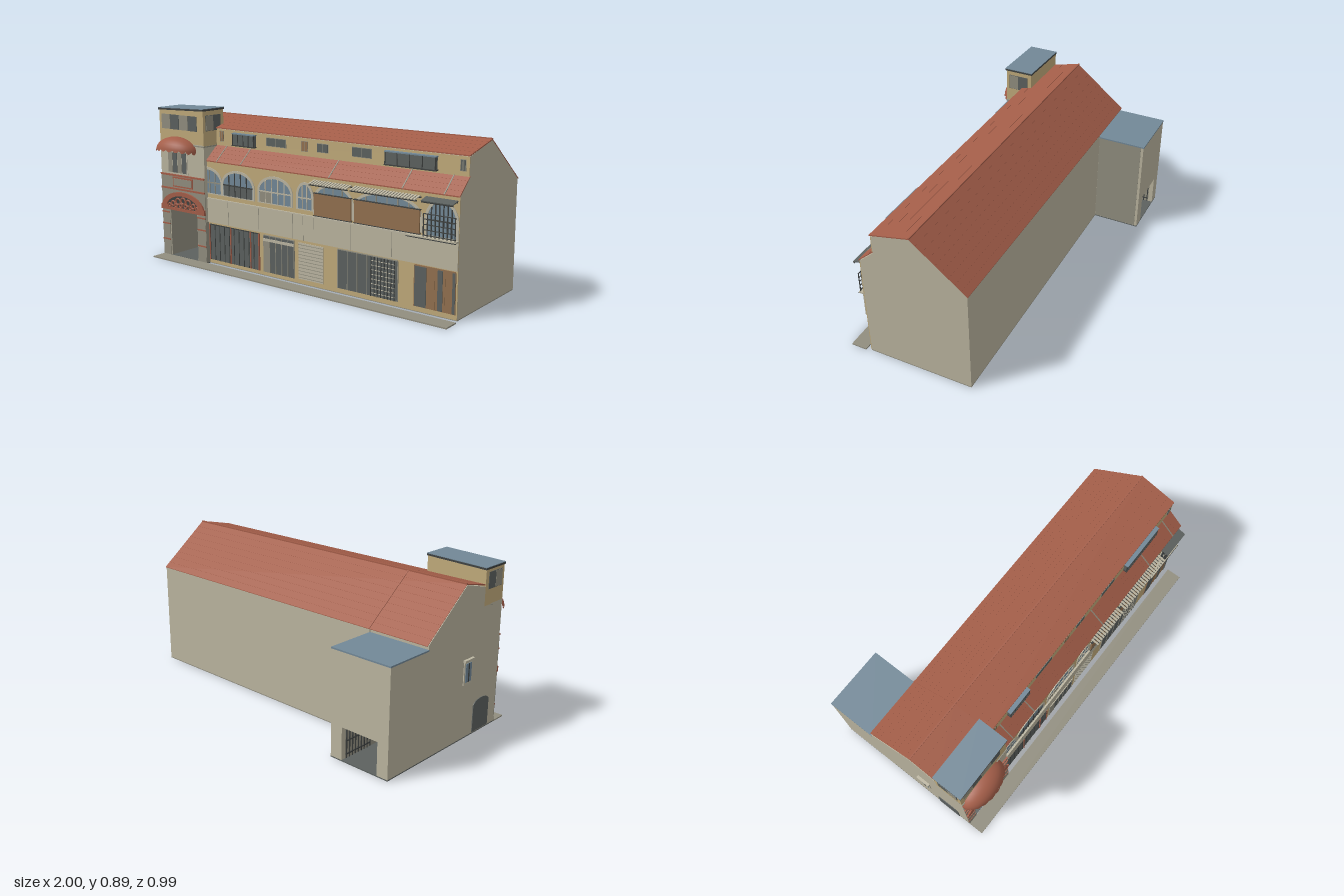
import * as THREE from 'three';

const mat = (name, color) => Object.assign(new THREE.MeshStandardMaterial({ color }), { name });

export function createModel() {
  const root = new THREE.Group();
  root.name = 'townhouseRow';
  const M = {
    wall: mat('beigePlaster', 0xbab49f), ochre: mat('ochrePlaster', 0xc0aa7a),
    brick: mat('redTile', 0xa45e49), slate: mat('slateBlue', 0x728897),
    glass: mat('darkGlass', 0x5c615f), trim: mat('paleTrim', 0xbcb6a2),
    brown: mat('brownWood', 0x92704f), dark: mat('darkMetal', 0x3f4241),
    stone: mat('greyStone', 0x918e7f),
  };
  M.brick.side = M.dark.side = THREE.DoubleSide;

  const add = (name, geo, m, parent = root) => {
    const mesh = new THREE.Mesh(geo, m);
    mesh.name = name;
    parent.add(mesh);
    return mesh;
  };
  // Box given by its limits on each axis
  const box = (name, m, x0, x1, y0, y1, z0, z1, parent) => {
    const b = add(name, new THREE.BoxGeometry(x1 - x0, y1 - y0, z1 - z0), m, parent);
    b.position.set((x0 + x1) / 2, (y0 + y1) / 2, (z0 + z1) / 2);
    return b;
  };
  // Side profile of [z, y] points run along x
  const prism = (name, m, pts, x0, x1) => {
    const s = new THREE.Shape(pts.map(p => new THREE.Vector2(...p)));
    const g = new THREE.ExtrudeGeometry(s, { depth: x1 - x0, bevelEnabled: false });
    return add(name, g.rotateY(-Math.PI / 2).translate(x1, 0, 0), m);
  };
  // Outline with straight jambs and an elliptical head
  const archPath = (P, x0, x1, y0, spring, top) => {
    const p = new P();
    p.moveTo(x0, y0);
    p.lineTo(x1, y0);
    p.lineTo(x1, spring);
    p.absellipse((x0 + x1) / 2, spring, (x1 - x0) / 2, top - spring, 0, Math.PI, false);
    p.lineTo(x0, y0);
    return p;
  };
  const extrude = (name, m, shape, z, depth) => add(name,
    new THREE.ExtrudeGeometry(shape, { depth, bevelEnabled: false, curveSegments: 14 }).translate(0, 0, z), m);

  // Main block
  prism('mainBody', M.wall, [[0.37, 0.01], [0.37, 0.605], [0.29, 0.676], [0.29, 0.778],
    [0.075, 0.831], [-0.22, 0.6], [-0.22, 0.01]], -0.63, 0.99);
  box('mainUnderside', M.stone, -0.63, 0.99, 0.005, 0.01, -0.22, 0.37);
  box('facade', M.ochre, -0.63, 0.99, 0.01, 0.6, 0.37, 0.374);
  box('atticFacade', M.ochre, -0.63, 0.99, 0.68, 0.777, 0.289, 0.293);
  box('pavement', M.stone, -0.985, 1, 0.003, 0.01, 0.4, 0.488);

  // Tiled roof slopes with nearly flush tile courses
  const slope = (name, x0, x1, z0, y0, z1, y1, rows, t) => {
    const strip = (n, a, b, lo, hi) => {
      const za = z0 + (z1 - z0) * a, zb = z0 + (z1 - z0) * b, ya = y0 + (y1 - y0) * a, yb = y0 + (y1 - y0) * b;
      prism(n, M.brick, [[za, ya + lo], [za, ya + hi], [zb, yb + hi], [zb, yb + lo]], x0, x1);
    };
    strip(name, 0, 1, 0, t);
    for (let i = 1; i < rows; i++) strip(name + 'Course', i / rows - 0.006, i / rows + 0.006, t - 0.001, t + 0.0008);
  };
  slope('backRoof', -0.982, 0.993, -0.224, 0.597, 0.077, 0.8325, 9, 0.003);
  slope('frontRoof', -0.63, 0.993, 0.297, 0.78, 0.077, 0.831, 5, 0.006);
  slope('wingFrontRoof', -0.982, -0.63, 0.24, 0.793, 0.077, 0.831, 3, 0.006);
  slope('lowerRoof', -0.63, 0.992, 0.38, 0.601, 0.288, 0.682, 4, 0.006);
  box('ridgeCap', M.brick, -0.982, 0.993, 0.831, 0.84, 0.073, 0.081);
  for (const x of [-0.55, -0.37, 0.24, 0.68, 0.91])
    prism('lowerRoofSeam', M.stone, [[0.381, 0.606], [0.381, 0.609], [0.288, 0.691], [0.288, 0.687]], x - 0.003, x + 0.003);
  prism('backRoofSeam', M.brick, [[-0.226, 0.6], [-0.226, 0.604], [0.078, 0.84], [0.078, 0.836]], -0.632, -0.626);

  // Parapet band between the floors
  box('parapetBand', M.wall, -0.63, 0.99, 0.25, 0.39, 0.372, 0.38);
  for (const x of [-0.47, -0.24, 0, 0.07, 0.14, 0.38, 0.625])
    box('bandJoint', M.stone, x - 0.001, x + 0.001, 0.25, 0.39, 0.38, 0.381);
  box('bandCap', M.trim, -0.63, 0.72, 0.385, 0.392, 0.372, 0.384);
  box('balconyLedge', M.wall, 0.72, 0.99, 0.386, 0.394, 0.374, 0.404);
  box('ledgeEdge', M.dark, 0.72, 0.99, 0.384, 0.388, 0.403, 0.406);

  // Ground floor shopfronts: panel plus upright bars
  const shop = (name, x0, x1, y0, y1, panel, bar, n) => {
    box(name, panel, x0, x1, y0, y1, 0.374, 0.377);
    for (let i = 0; i <= n; i++) {
      const x = x0 + (x1 - x0) * i / n;
      box(name + 'Bar', bar, x - 0.002, x + 0.002, y0, y1, 0.374, 0.379);
    }
    box(name + 'Head', bar, x0, x1, y1, y1 + 0.005, 0.374, 0.379);
  };
  shop('wideShopfront', -0.615, -0.245, 0.03, 0.235, M.glass, M.dark, 10);
  for (const x of [-0.618, -0.455, -0.305, -0.243]) box('redPost', M.brick, x - 0.003, x + 0.003, 0.03, 0.24, 0.374, 0.382);
  shop('doubleDoor', -0.21, 0.005, 0.03, 0.235, M.glass, M.stone, 5);
  box('doubleDoorSide', M.stone, -0.21, -0.165, 0.03, 0.205, 0.377, 0.379);
  box('doubleDoorTransom', M.trim, -0.21, 0.005, 0.205, 0.22, 0.377, 0.381);
  box('rollerShutter', M.trim, 0.035, 0.2, 0.035, 0.235, 0.374, 0.377);
  for (let i = 0; i < 11; i++) box('shutterSlat', M.stone, 0.035, 0.2, 0.043 + i * 0.018, 0.046 + i * 0.018, 0.376, 0.379);
  shop('glassShopfront', 0.295, 0.66, 0.035, 0.24, M.glass, M.stone, 6);
  for (let i = 0; i < 8; i++) {
    box('latticeUpright', M.dark, 0.5 + i * 0.02, 0.504 + i * 0.02, 0.035, 0.24, 0.377, 0.381);
    box('latticeRail', M.trim, 0.5, 0.645, 0.05 + i * 0.024, 0.053 + i * 0.024, 0.377, 0.38);
  }
  shop('woodShopfront', 0.755, 0.98, 0.035, 0.24, M.brown, M.brown, 4);
  for (const [x0, x1] of [[0.757, 0.822], [0.885, 0.912], [0.965, 0.98]])
    box('woodShopGlass', M.glass, x0, x1, 0.037, 0.238, 0.377, 0.38);

  // Arched windows on the first floor
  const archWindow = (x0, x1, y0, top, bars, barMat) => {
    const spring = y0 + (top - y0) * 0.45, w = 0.014;
    const ring = archPath(THREE.Shape, x0 - w, x1 + w, y0 - 0.005, spring, top + w);
    ring.holes.push(archPath(THREE.Path, x0, x1, y0, spring, top));
    extrude('archSurround', M.trim, ring, 0.373, 0.005);
    extrude('archGlass', M.slate, archPath(THREE.Shape, x0, x1, y0, spring, top), 0.373, 0.003);
    for (let i = 1; i < bars; i++) {
      const u = 2 * i / bars - 1, x = (x0 + x1) / 2 + u * (x1 - x0) / 2;
      box('archMullion', barMat, x - 0.003, x + 0.003, y0, spring + (top - spring) * Math.sqrt(1 - u * u), 0.375, 0.379);
    }
    box('archTransom', barMat, x0, x1, spring - 0.003, spring + 0.004, 0.375, 0.379);
  };
  archWindow(-0.74, -0.525, 0.42, 0.555, 5, M.stone);
  archWindow(-0.505, -0.285, 0.42, 0.555, 5, M.dark);
  archWindow(-0.235, -0.015, 0.42, 0.555, 5, M.trim);
  archWindow(0.035, 0.125, 0.42, 0.55, 3, M.trim);
  archWindow(0.15, 0.38, 0.41, 0.56, 4, M.stone);
  archWindow(0.405, 0.78, 0.41, 0.56, 6, M.stone);
  archWindow(0.82, 0.975, 0.4, 0.565, 7, M.dark);
  box('darkSashes', M.glass, -0.5, -0.29, 0.42, 0.478, 0.374, 0.377);
  box('paleSashes', M.stone, -0.23, -0.15, 0.42, 0.478, 0.374, 0.377);

  // Wooden balcony fronts, grille balcony and slatted awnings
  for (const [x0, x1] of [[0.147, 0.382], [0.402, 0.782]]) {
    box('balconyFront', M.brown, x0, x1, 0.4, 0.515, 0.374, 0.386);
    box('balconyRail', M.dark, x0 - 0.003, x1 + 0.003, 0.515, 0.519, 0.374, 0.388);
    box('balconySill', M.dark, x0 - 0.003, x1 + 0.003, 0.396, 0.4, 0.374, 0.388);
  }
  for (let i = 0; i < 5; i++) box('grilleRail', M.dark, 0.81, 0.985, 0.4 + i * 0.026, 0.404 + i * 0.026, 0.396, 0.4);
  for (let i = 0; i < 9; i++) box('grilleUpright', M.dark, 0.81 + i * 0.0213, 0.814 + i * 0.0213, 0.394, 0.508, 0.396, 0.4);
  const awning = (x0, x1, m, n, fill) => {
    const g = new THREE.Group();
    g.name = 'awning';
    const step = (x1 - x0) / n;
    for (let i = 0; i < n; i++) box('awningSlat', m, x0 + i * step, x0 + (i + fill) * step, -0.002, 0.003, 0, 0.05, g);
    for (const z of [0.004, 0.044]) box('awningRail', M.dark, x0, x1, -0.008, -0.002, z, z + 0.005, g);
    g.position.set(0, 0.582, 0.374);
    g.rotation.x = 0.25;
    root.add(g);
  };
  awning(0.14, 0.385, M.trim, 14, 0.6);
  awning(0.4, 0.785, M.trim, 22, 0.6);
  awning(0.81, 0.98, M.glass, 1, 1);

  // Attic windows, two of them projecting
  for (const [x0, x1, y0, y1, m] of [[-0.6, -0.575, 0.71, 0.765, M.brown], [-0.25, -0.115, 0.715, 0.757, M.glass],
    [-0.005, 0.035, 0.71, 0.76, M.brown], [0.1, 0.17, 0.715, 0.757, M.glass],
    [0.325, 0.44, 0.715, 0.76, M.glass], [0.945, 0.97, 0.71, 0.76, M.glass]]) {
    box('atticFrame', M.stone, x0 - 0.003, x1 + 0.003, y0 - 0.003, y1 + 0.003, 0.292, 0.295);
    box('atticWindow', m, x0, x1, y0, y1, 0.293, 0.297);
    box('atticMullion', M.stone, (x0 + x1) / 2 - 0.002, (x0 + x1) / 2 + 0.002, y0, y1, 0.296, 0.298);
  }
  for (const [x0, x1] of [[-0.485, -0.33], [0.535, 0.82]]) {
    box('bayWindow', M.glass, x0, x1, 0.7, 0.76, 0.29, 0.313);
    box('bayRoof', M.slate, x0 - 0.004, x1 + 0.004, 0.76, 0.766, 0.29, 0.318);
    box('baySill', M.dark, x0 - 0.004, x1 + 0.004, 0.694, 0.7, 0.29, 0.318);
    for (let i = 0; i <= 4; i++) box('bayPost', M.dark, x0 + (x1 - x0) * i / 4 - 0.002, x0 + (x1 - x0) * i / 4 + 0.002, 0.7, 0.76, 0.31, 0.316);
  }

  // Gate wing: solid upper part over an open passage
  const L = -0.985, R = -0.63;
  prism('wingUpper', M.wall, [[0.397, 0.29], [0.397, 0.69], [0.235, 0.69], [0.235, 0.788], [0.075, 0.831],
    [-0.215, 0.603], [-0.215, 0.572], [-0.495, 0.572], [-0.495, 0.29]], L, R);
  for (const [x0, x1] of [[L, -0.92], [-0.7, R]]) {
    box('passageSideWall', M.wall, x0, x1, 0.01, 0.29, -0.495, 0.397);
    const inner = x0 === L ? x1 : x0;
    box('passageLining', M.stone, inner - 0.001, inner + 0.001, 0.01, 0.29, -0.47, 0.396);
  }
  box('annexRightFace', M.stone, R - 0.001, R + 0.002, 0.012, 0.572, -0.48, -0.221);
  box('rearLintel', M.wall, -0.92, -0.7, 0.185, 0.29, -0.495, -0.472);
  box('rearLintelInside', M.stone, -0.92, -0.7, 0.185, 0.29, -0.472, -0.469);
  box('passageFloor', M.glass, L, R, 0.004, 0.01, -0.495, 0.397);
  for (const x of [-0.918, -0.706]) {
    for (let i = 0; i < 9; i++) box('openGateBar', M.dark, x, x + 0.004, 0.012, 0.18, -0.465 + i * 0.022, -0.46 + i * 0.022);
    for (const y of [0.03, 0.1, 0.172]) box('openGateRail', M.dark, x, x + 0.005, y, y + 0.006, -0.465, -0.284);
  }

  // Stone gate pillars with red courses
  for (const [x0, x1] of [[L, -0.925], [-0.695, R]]) {
    box('pillarFace', M.stone, x0, x1, 0.01, 0.295, 0.397, 0.401);
    for (const y of [0.1, 0.195, 0.265]) box('pillarCourse', M.brick, x0, x1, y, y + 0.008, 0.397, 0.404);
    box('archFoot', M.brick, x0, x1, 0.288, 0.318, 0.397, 0.41);
  }
  box('pillarSide', M.stone, R - 0.001, R + 0.002, 0.01, 0.25, 0.374, 0.4);
  box('archBacking', M.stone, L, R, 0.318, 0.412, 0.397, 0.4);
  // Ornamental arch above the gate
  const cx = -0.807;
  const half = (P, rx, ry) => archPath(P, cx - rx, cx + rx, 0.3, 0.302, 0.302 + ry);
  const crown = half(THREE.Shape, 0.172, 0.1);
  crown.holes.push(archPath(THREE.Path, cx - 0.135, cx + 0.135, 0.3005, 0.302, 0.378));
  extrude('gateArch', M.brick, crown, 0.397, 0.013);
  extrude('archField', M.dark, half(THREE.Shape, 0.136, 0.077), 0.397, 0.004);
  box('gateLintel', M.brick, -0.925, -0.695, 0.288, 0.305, 0.39, 0.409);
  for (const [dx, y, r] of [[0, 0.35, 0.018], [0.042, 0.342, 0.018], [0.083, 0.328, 0.014], [0.02, 0.32, 0.011], [0.06, 0.316, 0.009], [0.113, 0.316, 0.01]])
    for (const s of dx ? [-1, 1] : [1])
      add('archScroll', new THREE.TorusGeometry(r, 0.0055, 6, 14), M.brick).position.set(cx + s * dx, y, 0.402);

  // Gate wing bands, sign panel and window
  box('upperBand', M.brick, L, R, 0.492, 0.502, 0.397, 0.406);
  box('lowerBand', M.brick, L, R, 0.412, 0.422, 0.397, 0.406);
  box('panelField', M.stone, L, R, 0.422, 0.492, 0.397, 0.4);
  box('signFrame', M.brick, -0.887, -0.723, 0.428, 0.488, 0.397, 0.403);
  box('signPanel', M.stone, -0.878, -0.732, 0.437, 0.479, 0.397, 0.406);
  box('wingWindowFrame', M.trim, -0.928, -0.762, 0.506, 0.64, 0.397, 0.4);
  for (let i = 0; i < 4; i++) box('wingWindowPane', i % 2 ? M.glass : M.stone, -0.92 + i * 0.038, -0.886 + i * 0.038, 0.513, 0.633, 0.397, 0.402);
  box('cornice', M.stone, L, R + 0.003, 0.679, 0.686, 0.29, 0.402);

  // Half-dome awning with a scalloped valance, its front rim tilted up
  const awningDome = new THREE.Group();
  awningDome.name = 'domeAwning';
  awningDome.position.set(-0.838, 0.645, 0.402);
  awningDome.rotation.x = -0.2;
  root.add(awningDome);
  const dome = add('awningShell', new THREE.SphereGeometry(1, 20, 8, 0, Math.PI, 0, Math.PI / 2), M.brick, awningDome);
  dome.scale.set(0.15, 0.08, 0.09);
  const valance = new THREE.CylinderGeometry(1, 1, 1, 60, 1, true, -Math.PI / 2, Math.PI);
  const vp = valance.attributes.position;
  for (let i = 0; i < vp.count; i++) if (vp.getY(i) < 0)
    vp.setY(i, 0.3 - 0.8 * Math.abs(Math.sin(Math.atan2(vp.getX(i), vp.getZ(i)) * 10)));
  const skirt = add('awningValance', valance, M.brick, awningDome);
  skirt.scale.set(0.15, 0.015, 0.09);
  skirt.position.y = -0.0075;

  // Tower room with tilted flat roof
  box('towerRoom', M.ochre, L, R, 0.686, 0.884, 0.235, 0.397);
  for (let i = 0; i < 4; i++)
    box('towerWindowPane', i % 2 ? M.glass : M.stone, -0.965 + i * 0.072, -0.896 + i * 0.072, 0.765, 0.85, 0.397, 0.4);
  for (const x of [L - 0.003, R]) {
    box('towerSideWindow', M.glass, x, x + 0.003, 0.77, 0.858, 0.26, 0.378);
    box('towerSidePane', M.stone, x - 0.001, x + 0.004, 0.772, 0.856, 0.32, 0.376);
  }
  const roof = new THREE.Group();
  roof.name = 'towerRoof';
  box('roofSlab', M.dark, -0.181, 0.181, -0.006, 0.004, -0.088, 0.086, roof);
  box('roofCover', M.slate, -0.181, 0.181, 0.004, 0.007, -0.088, 0.086, roof);
  roof.position.set(-0.806, 0.884, 0.319);
  roof.rotation.z = 0.03;
  root.add(roof);
  // Blue annex roof
  box('annexRoof', M.slate, L - 0.002, R + 0.002, 0.572, 0.58, -0.498, -0.213);

  // Openings in the left gable wall
  box('sideWindowFrame', M.trim, L - 0.005, L, 0.305, 0.435, 0.085, 0.155);
  box('sideWindowPane', M.slate, L - 0.008, L, 0.32, 0.42, 0.095, 0.145);
  box('sideWindowCasement', M.dark, L - 0.01, L, 0.32, 0.42, 0.116, 0.124);
  box('sideWindowHood', M.trim, -1, L, 0.43, 0.442, 0.08, 0.16);
  const door = archPath(THREE.Shape, 0.19, 0.33, 0.015, 0.16, 0.19);
  add('sideDoor', new THREE.ExtrudeGeometry(door, { depth: 0.004, bevelEnabled: false }).rotateY(-Math.PI / 2).translate(L, 0, 0), M.glass);

  return root;
}
